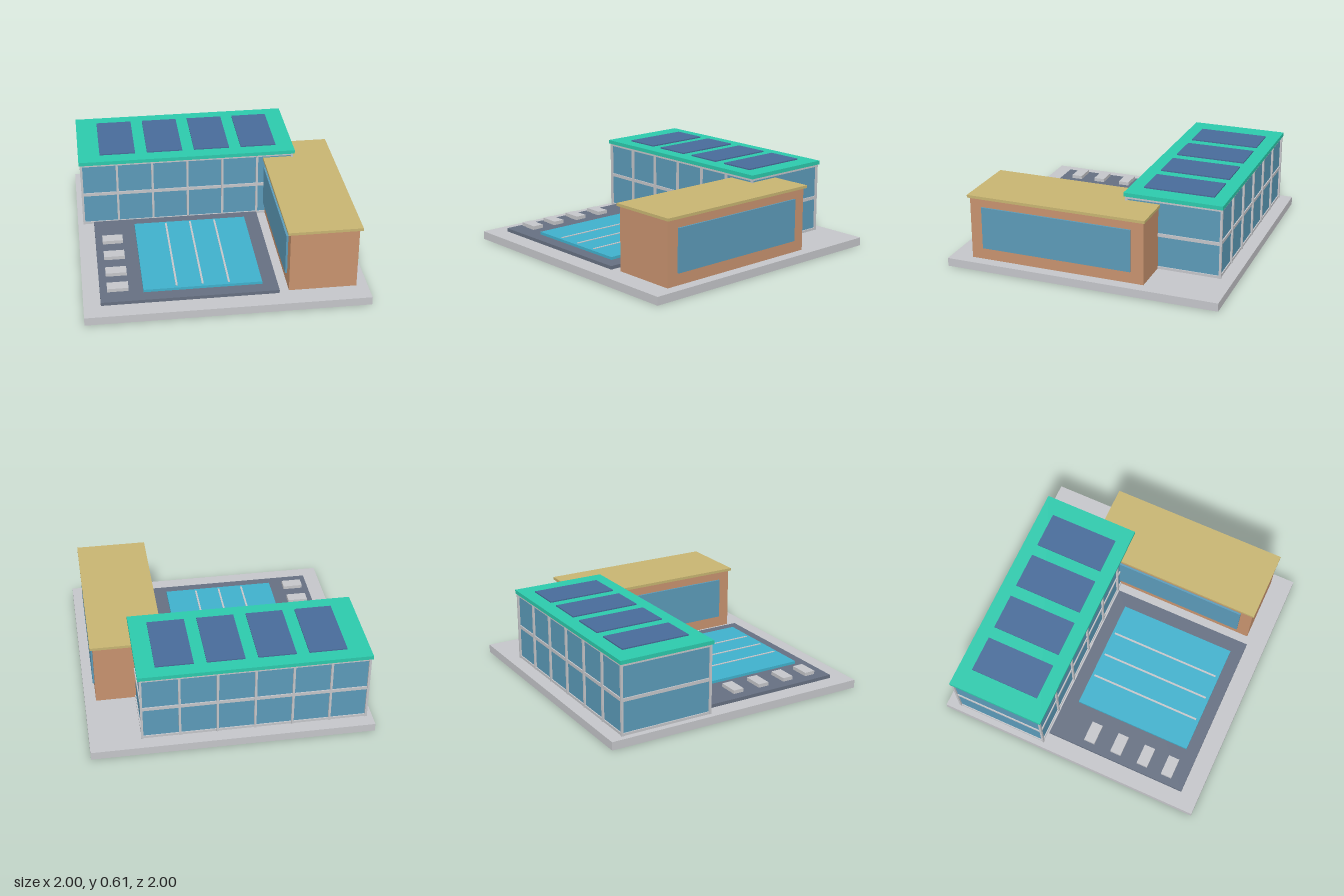
import * as THREE from 'three';

const mat = (name, color) => {
  const m = new THREE.MeshStandardMaterial({ color });
  m.name = name;
  return m;
};

export function createModel() {
  const model = new THREE.Group();
  model.name = 'poolHouse';

  const paleGrey = mat('paleGrey', 0xc5c6ca);
  const slate = mat('slate', 0x667082);
  const water = mat('water', 0x40b1cd);
  const glass = mat('glass', 0x5c9bb9);
  const teal = mat('teal', 0x2dcaad);
  const solarBlue = mat('solarBlue', 0x486c9a);
  const clay = mat('clay', 0xc8936f);
  const ochre = mat('ochre', 0xc8b572);

  // Box given by its limits on each axis
  const box = (parent, name, material, [x0, x1], [y0, y1], [z0, z1]) => {
    const mesh = new THREE.Mesh(new THREE.BoxGeometry(x1 - x0, y1 - y0, z1 - z0), material);
    mesh.position.set((x0 + x1) / 2, (y0 + y1) / 2, (z0 + z1) / 2);
    mesh.name = name;
    parent.add(mesh);
  };
  const group = (name) => {
    const g = new THREE.Group();
    g.name = name;
    model.add(g);
    return g;
  };

  // Ground slab
  box(model, 'baseSlab', paleGrey, [-1, 1], [0, 0.06], [-1, 1]);

  // Pool terrace
  const terrace = group('terrace');
  box(terrace, 'deck', slate, [-0.88, 0.367], [0.06, 0.085], [-0.2, 0.868]);
  box(terrace, 'pool', water, [-0.578, 0.258], [0.085, 0.105], [-0.1, 0.777]);
  for (const x of [-0.343, -0.16, 0.025]) {
    box(terrace, 'laneLine', paleGrey, [x - 0.007, x + 0.007], [0.105, 0.109], [-0.08, 0.753]);
  }
  for (const z of [0.103, 0.315, 0.528, 0.722]) {
    box(terrace, 'lounger', paleGrey, [-0.829, -0.68], [0.096, 0.122], [z - 0.041, z + 0.041]);
    box(terrace, 'loungerFoot', paleGrey, [-0.8, -0.71], [0.085, 0.096], [z - 0.025, z + 0.025]);
  }

  // Glass hall with its frame
  const hall = group('glassHall');
  box(hall, 'glazing', glass, [-0.949, 0.63], [0.06, 0.572], [-0.894, -0.223]);
  const frameX = [-0.957, 0.638], frameZ = [-0.902, -0.215];
  for (const [y0, y1] of [[0.06, 0.078], [0.303, 0.327], [0.553, 0.572]]) {
    box(hall, 'rail', paleGrey, frameX, [y0, y1], frameZ);
  }
  for (let i = 0; i <= 6; i++) {
    const x = -0.953 + i * 0.2645;
    for (const z of [-0.9, -0.217]) {
      box(hall, 'post', paleGrey, [x - 0.008, x + 0.008], [0.06, 0.572], [z - 0.008, z + 0.008]);
    }
  }
  box(hall, 'hallRoof', teal, [-0.97, 0.653], [0.572, 0.6], [-0.913, -0.2]);
  for (let i = 0; i < 4; i++) {
    const x = -0.676 + i * 0.355;
    box(hall, 'solarPanel', solarBlue, [x - 0.133, x + 0.133], [0.6, 0.609], [-0.812, -0.301]);
  }

  // Side wing with a long window on both sides
  const wing = group('sideWing');
  box(wing, 'wingWalls', clay, [0.437, 0.919], [0.06, 0.52], [-0.447, 0.843]);
  box(wing, 'wingRoof', ochre, [0.417, 0.94], [0.52, 0.54], [-0.46, 0.856]);
  for (const [x0, x1] of [[0.423, 0.437], [0.919, 0.931]]) {
    box(wing, 'wingWindow', glass, [x0, x1], [0.146, 0.455], [-0.354, 0.754]);
  }

  return model;
}
